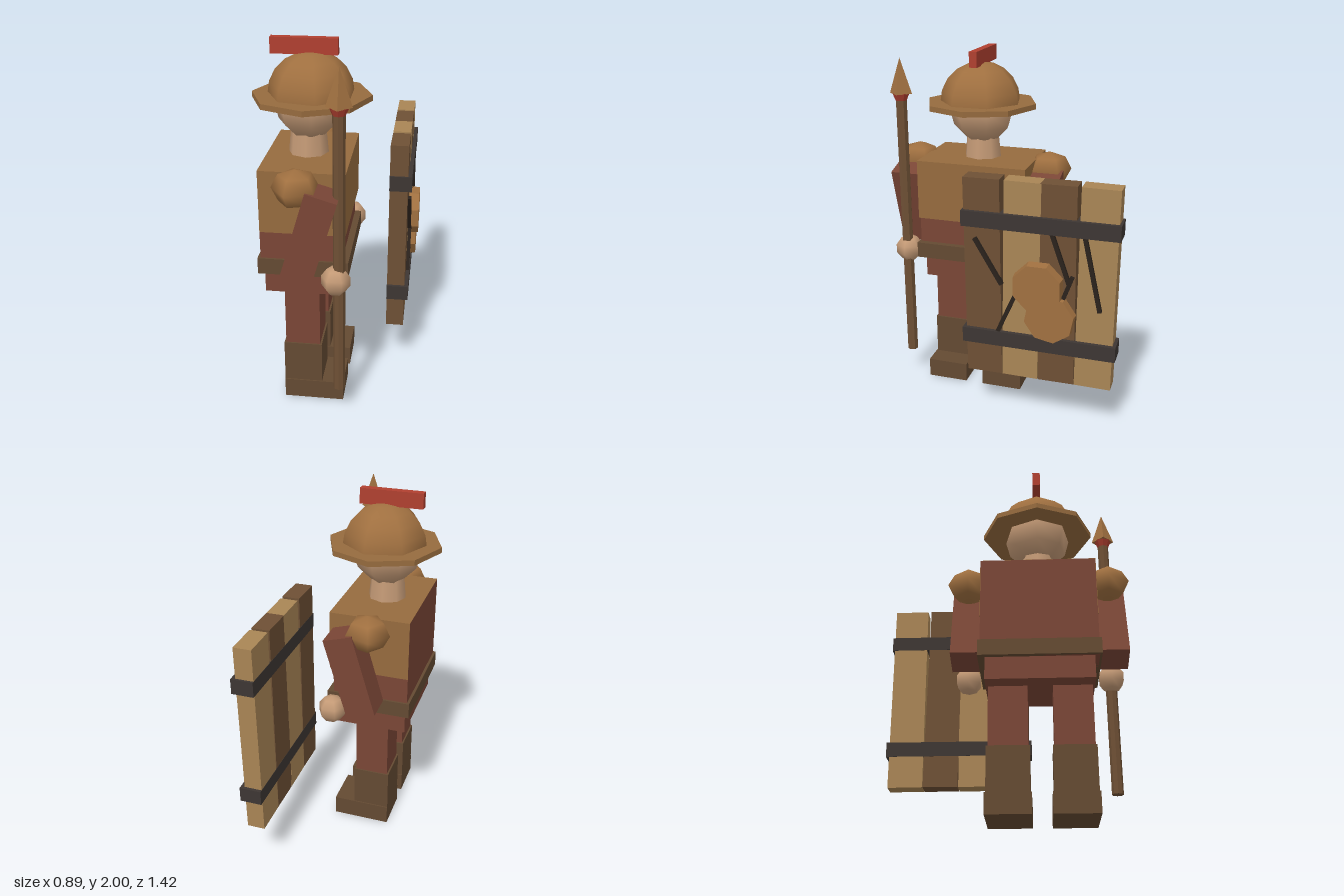
import * as THREE from 'three';

const MID = 0.1925; // z of the soldier's symmetry plane
const mat = (color, flat = true) => new THREE.MeshStandardMaterial({ color, flatShading: flat });
const cloth = mat(0x7a4636), leather = mat(0x966b3e), boot = mat(0x644a32);
const skin = mat(0xc49a76, false), bronze = mat(0xa07040, false), bronzeFlat = mat(0xa07040);
const wood = mat(0x6e5035), paleWood = mat(0xa98555), iron = mat(0x3d3633);
const dark = mat(0x2a221c), red = mat(0xb04030);

function add(parent, name, geometry, material, x, y, z) {
  const mesh = new THREE.Mesh(geometry, material);
  mesh.name = name;
  mesh.position.set(x, y, z);
  parent.add(mesh);
  return mesh;
}

// Box given by its lower and upper corner
function box(parent, name, material, [x0, y0, z0], [x1, y1, z1]) {
  return add(parent, name, new THREE.BoxGeometry(x1 - x0, y1 - y0, z1 - z0), material,
    (x0 + x1) / 2, (y0 + y1) / 2, (z0 + z1) / 2);
}

// Box centred on the symmetry plane
const midBox = (p, name, m, x0, x1, y0, y1, half) =>
  box(p, name, m, [x0, y0, MID - half], [x1, y1, MID + half]);

function buildBody(g) {
  midBox(g, 'pelvis', cloth, -0.35, 0.06, 0.685, 0.82, 0.29);
  midBox(g, 'tunic', cloth, -0.365, 0.065, 0.81, 1.39, 0.316);
  midBox(g, 'breastplate', leather, -0.365, 0.085, 1.05, 1.391, 0.318);
  midBox(g, 'belt', boot, -0.38, 0.1, 0.81, 0.9, 0.328);

  for (const side of [-1, 1]) {
    const tag = side > 0 ? 'near' : 'far';
    // Leg and boot
    const leg = MID + side * 0.172;
    box(g, tag + 'Leg', cloth, [-0.25, 0.34, leg - 0.105], [-0.06, 0.7, leg + 0.105]);
    box(g, tag + 'BootShaft', boot, [-0.26, 0.1, leg - 0.113], [-0.05, 0.355, leg + 0.113]);
    box(g, tag + 'BootFoot', boot, [-0.26, 0, leg - 0.12], [0.07, 0.113, leg + 0.12]);
    // Arm, shoulder pad and hand
    const arm = add(g, tag + 'Arm', new THREE.BoxGeometry(0.166, 0.475, 0.168), cloth,
      -0.083, 1.1, MID + side * 0.405);
    arm.rotation.z = -0.285;
    const pad = add(g, tag + 'ShoulderPad', new THREE.SphereGeometry(0.125, 5, 4), bronze,
      -0.155, 1.34, MID + side * 0.395);
    pad.scale.y = 0.8;
    add(g, tag + 'Hand', new THREE.SphereGeometry(0.08, 6, 5), skin, 0.045, 0.84, MID + side * 0.405);
  }
}

function buildHead(g) {
  add(g, 'neck', new THREE.CylinderGeometry(0.095, 0.11, 0.16, 8), skin, -0.15, 1.44, MID);
  add(g, 'head', new THREE.SphereGeometry(0.19, 7, 6), skin, -0.145, 1.665, MID);
  for (const z of [0.12, 0.27])
    box(g, 'eye', dark, [0, 1.655, z - 0.023], [0.035, 1.682, z + 0.023]);
  // Helmet dome, brim and crest
  add(g, 'helmetDome', new THREE.SphereGeometry(0.235, 7, 5, 0, Math.PI * 2, 0, Math.PI / 2),
    bronze, -0.13, 1.695, MID);
  add(g, 'helmetBrim', new THREE.CylinderGeometry(0.317, 0.317, 0.03, 8), leather, -0.13, 1.695, MID);
  midBox(g, 'crest', red, -0.34, 0.01, 1.915, 2, 0.022);
}

function buildSpear(g) {
  const x = 0.063, z = 0.597;
  add(g, 'spearShaft', new THREE.CylinderGeometry(0.032, 0.032, 1.57, 8), wood, x, 0.96, z);
  add(g, 'spearBinding', new THREE.CylinderGeometry(0.05, 0.03, 0.045, 8), red, x, 1.745, z);
  add(g, 'spearTip', new THREE.ConeGeometry(0.066, 0.195, 4), bronzeFlat, x, 1.863, z);
}

function buildShield(g) {
  // Slightly uneven planks, alternating in tone: z centre and tilt
  [[0.023, 0.012], [-0.19, -0.008], [-0.386, 0.008], [-0.597, -0.008]].forEach(([z, tilt], i) => {
    const plank = add(g, 'plank', new THREE.BoxGeometry(0.1, 1.13, 0.2), i % 2 ? paleWood : wood,
      0.331, 0.853, z);
    plank.rotation.x = tilt;
  });
  for (const y of [0.515, 1.197])
    box(g, 'ironBand', iron, [0.28, y - 0.043, -0.713], [0.403, y + 0.043, 0.137]);
  // Thin dark strips across the face: z and y of both ends
  const strips = [
    [0.064, 1.09, -0.085, 0.84], [-0.355, 1.16, -0.455, 0.88], [-0.53, 1.155, -0.62, 0.75],
    [-0.175, 0.82, -0.064, 0.56], [-0.47, 0.93, -0.42, 0.79],
  ];
  for (const [z0, y0, z1, y1] of strips) {
    const strip = add(g, 'strip', new THREE.BoxGeometry(0.025, Math.hypot(z1 - z0, y1 - y0), 0.022),
      dark, 0.388, (y0 + y1) / 2, (z0 + z1) / 2);
    strip.rotation.x = Math.atan2(z0 - z1, y0 - y1);
  }
  // Overlapping round bosses
  for (const [y, z, front, turn] of [[0.857, -0.288, 0.44, Math.PI / 8], [0.683, -0.355, 0.427, 0.2]]) {
    const depth = front - 0.38;
    const boss = add(g, 'boss', new THREE.CylinderGeometry(0.137, 0.142, depth, 8), bronzeFlat,
      front - depth / 2, y, z);
    boss.rotation.set(turn, 0, -Math.PI / 2);
  }
}

export function createModel() {
  const model = new THREE.Group();
  model.name = 'soldier';
  for (const [name, build] of Object.entries({
    body: buildBody, helmetedHead: buildHead, spear: buildSpear, shield: buildShield,
  })) {
    const part = new THREE.Group();
    part.name = name;
    build(part);
    model.add(part);
  }
  return model;
}
